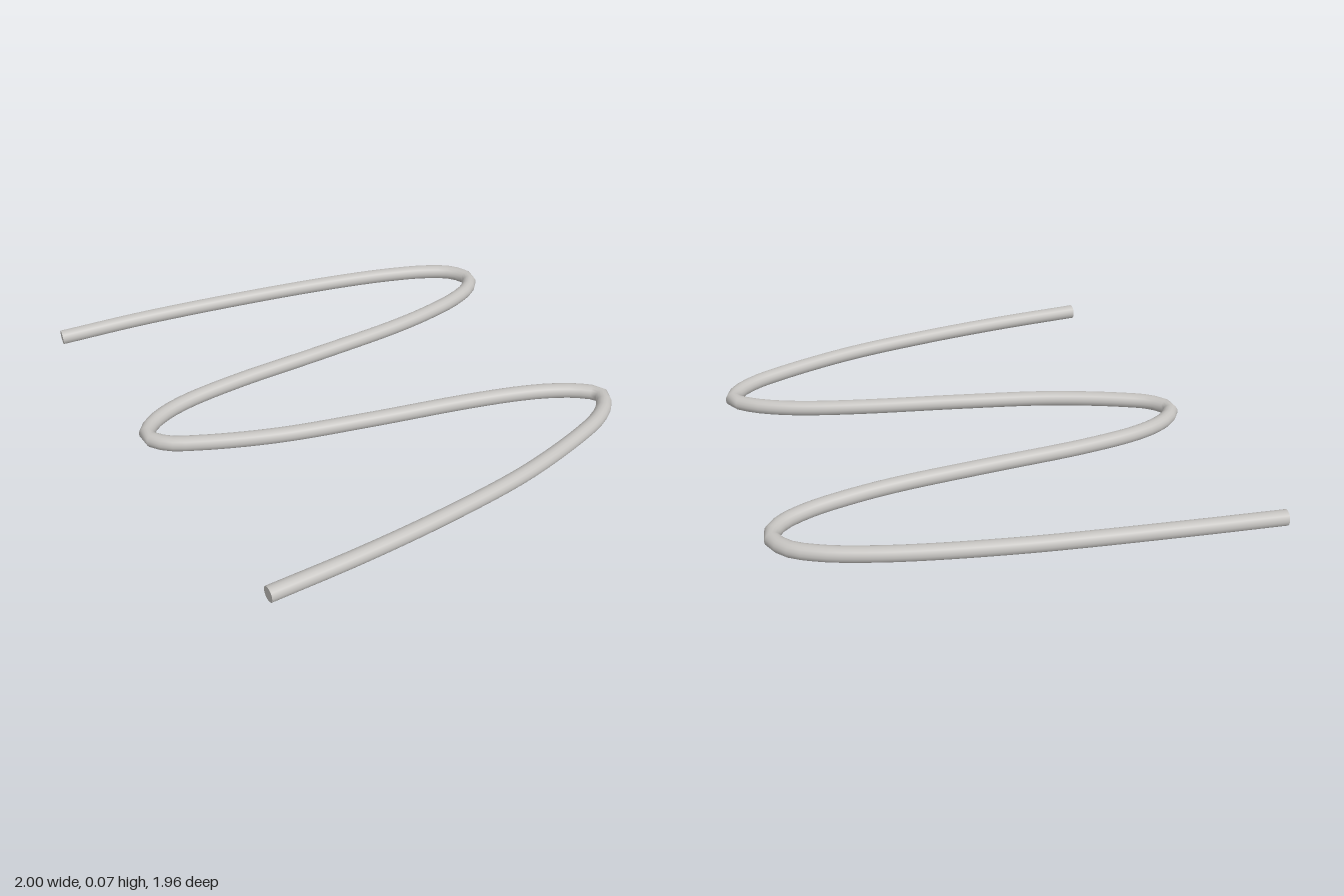
import * as THREE from 'three';

const RADIUS = 0.032;

// Centre line of the bent wire as [x, z], from the back end to the front end
const PATH = [
  [-1, -0.95], [-0.6, -0.934], [0, -0.886], [0.4, -0.833], [0.6, -0.793], [0.76, -0.746],
  [0.87, -0.686], [0.916, -0.604], [0.872, -0.53], [0.76, -0.467], [0.6, -0.418], [0.4, -0.377],
  [0, -0.33], [-0.4, -0.289], [-0.65, -0.243], [-0.77, -0.197], [-0.842, -0.144], [-0.872, -0.086],
  [-0.82, -0.016], [-0.685, 0.045], [-0.385, 0.133], [0, 0.199], [0.405, 0.258], [0.647, 0.305],
  [0.79, 0.348], [0.898, 0.4], [0.963, 0.46], [0.938, 0.522], [0.864, 0.588], [0.737, 0.65],
  [0.405, 0.765], [0, 0.85], [-0.385, 0.906], [-0.76, 0.943],
];

export function createModel() {
  const group = new THREE.Group();
  group.name = 'bentWire';
  const metal = new THREE.MeshStandardMaterial({ color: 0xc4c2bf });
  metal.name = 'light grey';

  // The back end dips slightly to the ground
  const points = PATH.map(([x, z], i) => new THREE.Vector3(x, i === 0 ? RADIUS : 0.039, z));
  const curve = new THREE.CatmullRomCurve3(points, false, 'centripetal');
  const wire = new THREE.Mesh(new THREE.TubeGeometry(curve, 160, RADIUS, 16, false), metal);
  wire.name = 'wire';
  group.add(wire);

  // Flat discs closing both ends
  for (const [name, t, sign] of [['backEndCap', 0, -1], ['frontEndCap', 1, 1]]) {
    const cap = new THREE.Mesh(new THREE.CircleGeometry(RADIUS, 16), metal);
    cap.name = name;
    cap.position.copy(curve.getPointAt(t));
    const outward = curve.getTangentAt(t).multiplyScalar(sign);
    cap.quaternion.setFromUnitVectors(new THREE.Vector3(0, 0, 1), outward);
    group.add(cap);
  }
  return group;
}
